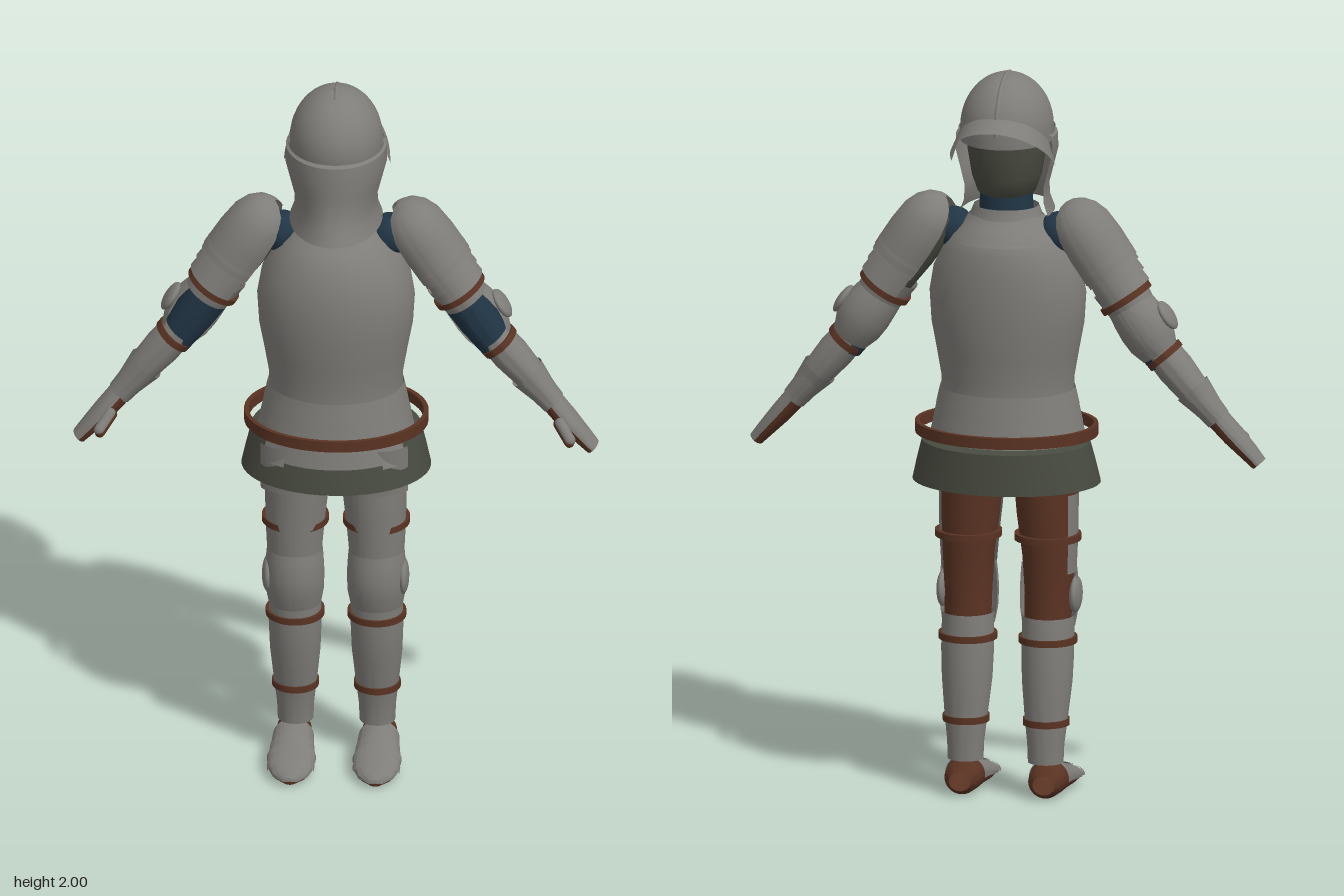
import * as THREE from 'three';
import { toCreasedNormals } from 'three/addons/utils/BufferGeometryUtils.js';

const mat = (name, color) => new THREE.MeshStandardMaterial({ name, color, side: THREE.DoubleSide });
const TAU = Math.PI * 2;

// Surface from a rule f(u, v) -> [x, y, z], u and v in 0..1
function grid(f, nu, nv) {
  const pos = [], idx = [];
  for (let j = 0; j <= nv; j++) for (let i = 0; i <= nu; i++) pos.push(...f(i / nu, j / nv));
  for (let j = 0; j < nv; j++) for (let i = 0; i < nu; i++) {
    const a = j * (nu + 1) + i, b = a + 1, c = a + nu + 1, d = c + 1;
    idx.push(a, b, d, a, d, c);
  }
  const g = new THREE.BufferGeometry();
  g.setAttribute('position', new THREE.Float32BufferAttribute(pos, 3));
  g.setIndex(idx);
  return toCreasedNormals(g, 0.75);
}

// Elliptical sections [y, cx, cz, rx, rz], bottom to top; angle 0 is front, PI/2 is +x
function loft(rows, from = 0, to = TAU, seg = 36) {
  return grid((u, v) => {
    const [y, cx, cz, rx, rz] = rows[Math.round(v * (rows.length - 1))];
    const t = from + (to - from) * u;
    return [cx + rx * Math.sin(t), y, cz + rz * Math.cos(t)];
  }, seg, rows.length - 1);
}

// Flat strap ring around a limb
const ring = (y, cx, cz, rx, rz, h = 0.009, w = 0.012) => loft(
  [[y - h, cx, cz, rx - w, rz - w], [y - h, cx, cz, rx, rz], [y + h, cx, cz, rx, rz], [y + h, cx, cz, rx - w, rz - w]]);

// Section from half width, front z and back z
const sec = (y, rx, zf, zb) => [y, 0, (zf + zb) / 2, rx, (zf - zb) / 2];

export function createModel() {
  const steel = mat('steel', 0x7f7d79), leather = mat('leather', 0x5a3323);
  const mail = mat('mail', 0x484b40), cloth = mat('cloth', 0x213545);
  const root = new THREE.Group();
  root.name = 'armour';
  const add = (parent, name, geo, m) => {
    const mesh = new THREE.Mesh(geo, m);
    mesh.name = name;
    parent.add(mesh);
    return mesh;
  };

  // Torso
  add(root, 'cuirass', loft([
    sec(1.12, 0.18, 0.17, -0.145), sec(1.16, 0.18, 0.17, -0.145), sec(1.23, 0.192, 0.18, -0.155),
    sec(1.31, 0.207, 0.19, -0.165), sec(1.39, 0.212, 0.193, -0.168), sec(1.46, 0.2, 0.185, -0.167),
    sec(1.52, 0.172, 0.165, -0.16), sec(1.56, 0.145, 0.138, -0.145), sec(1.585, 0.12, 0.1, -0.11),
    sec(1.61, 0.1, 0.075, -0.09)], 0, TAU, 48), steel);
  add(root, 'collar', loft([sec(1.57, 0.11, 0.085, -0.11), sec(1.61, 0.098, 0.08, -0.092), sec(1.635, 0.088, 0.075, -0.087)]), steel);
  add(root, 'backCollarLip', loft([sec(1.545, 0.15, 0.14, -0.155), sec(1.57, 0.128, 0.115, -0.135)]), steel);
  for (let i = 0; i < 4; i++) {
    const y = 1.13 - i * 0.045, k = i * 0.009;
    add(root, 'waistLame', loft([sec(y - 0.05, 0.194 + k, 0.18 + k / 2, -0.155 - k / 2), sec(y, 0.183 + k, 0.171 + k / 2, -0.147 - k / 2)]), steel);
  }
  add(root, 'belt', loft([
    sec(1.003, 0.235, 0.19, -0.195), sec(1.003, 0.248, 0.201, -0.208), sec(1.034, 0.248, 0.201, -0.208),
    sec(1.034, 0.235, 0.19, -0.195), sec(1.003, 0.235, 0.19, -0.195)], 0, TAU, 48), leather);
  add(root, 'mailSkirt', loft([sec(0.873, 0.255, 0.201, -0.208), sec(0.93, 0.242, 0.19, -0.205),
    sec(0.985, 0.228, 0.177, -0.2), sec(0.99, 0.2, 0.165, -0.16)], 0, TAU, 48), mail);
  add(root, 'hips', loft([sec(0.86, 0.03, 0.05, -0.03), sec(0.885, 0.15, 0.12, -0.1), sec(0.94, 0.18, 0.14, -0.13), sec(1.03, 0.17, 0.14, -0.13)]), cloth);

  // Head and helmet
  add(root, 'neck', loft([sec(1.58, 0.075, 0.065, -0.078), sec(1.69, 0.07, 0.06, -0.075)]), cloth);
  add(root, 'mailHood', loft([sec(1.655, 0.05, 0.05, -0.06), sec(1.675, 0.078, 0.08, -0.088), sec(1.72, 0.094, 0.1, -0.104),
    sec(1.79, 0.106, 0.115, -0.115), sec(1.86, 0.108, 0.12, -0.12)]), mail);
  const dome = [[1.815, 0, 0, 0.124, 0.144]];
  for (let i = 0; i <= 12; i++) {
    const a = i / 12 * Math.PI / 2;
    dome.push([1.85 + 0.147 * Math.sin(a), 0, 0, 0.125 * Math.cos(a), 0.146 * Math.cos(a)]);
  }
  add(root, 'helmetDome', loft(dome, 0, TAU, 48), steel);
  add(root, 'helmetRidge', grid((u, v) => {
    const a = u * Math.PI * 0.62, r = 1.02 - Math.abs(v - 0.5) * 0.06;
    return [(v - 0.5) * 0.014, 1.85 + 0.147 * r * Math.sin(a), -0.146 * r * Math.cos(a)];
  }, 24, 2), steel);
  add(root, 'crownRivet', new THREE.SphereGeometry(0.008, 12, 8), steel).position.y = 1.994;
  add(root, 'helmetBand', loft([sec(1.832, 0.128, 0.149, -0.149), sec(1.85, 0.129, 0.15, -0.15)], -1.8, 1.8), steel);
  add(root, 'faceGuard', loft([
    [1.615, 0, 0, 0.125, 0.2], [1.65, 0, 0, 0.112, 0.183], [1.69, 0, 0, 0.111, 0.169], [1.74, 0, 0, 0.124, 0.165],
    [1.79, 0, 0, 0.137, 0.167], [1.833, 0, 0, 0.135, 0.162], [1.84, 0, 0, 0.122, 0.145]], -1.8, 1.8, 40), steel);
  add(root, 'rearPeak', grid((u, v) => {
    const t = (u - 0.5) * Math.PI, s = Math.sin(t), c = Math.cos(t);
    const inner = [0.124 * s, 1.815 + 0.085 * c, -0.035 - 0.1 * c];
    const outer = [0.143 * s, 1.755 + 0.117 * c, -0.045 - 0.152 * c];
    return inner.map((p, i) => p + (outer[i] - p) * v);
  }, 32, 4), steel);

  // One side of limbs, then its mirror
  for (const side of [1, -1]) {
    const half = new THREE.Group();
    half.name = side > 0 ? 'leftLimbs' : 'rightLimbs';
    half.scale.x = side;
    root.add(half);

    const armpit = add(half, 'armpitCloth', new THREE.SphereGeometry(0.058, 20, 14), cloth);
    armpit.position.set(0.145, 1.562, -0.005);

    // Upper arm hangs along local -y
    const arm = new THREE.Group();
    arm.name = 'upperArm';
    arm.position.set(0.2, 1.58, -0.015);
    arm.rotation.z = 0.588;
    half.add(arm);
    const out = Math.PI / 2;
    add(arm, 'mailSleeve', loft([[-0.22, 0.008, 0, 0.06, 0.066], [-0.1, 0.006, 0, 0.07, 0.076], [0, 0.004, 0, 0.07, 0.076],
      [0.04, 0, 0, 0.052, 0.058], [0.062, 0, 0, 0.005, 0.005]]), mail);
    add(arm, 'pauldron', loft([
      [-0.14, 0.008, 0, 0.087, 0.094], [-0.06, 0.008, 0, 0.088, 0.094], [0, 0.008, 0, 0.083, 0.089], [0.035, 0.008, 0, 0.07, 0.075],
      [0.06, 0.008, 0, 0.05, 0.052], [0.074, 0.01, 0, 0.025, 0.025], [0.078, 0.01, 0, 0.001, 0.001]], out - 2.25, out + 2.25), steel);
    for (let i = 0; i < 4; i++) {
      const y = -0.085 - i * 0.032, k = i * 0.0035;
      add(arm, 'armLame', loft([[y - 0.036, 0.008, 0, 0.088 - k, 0.095 - k], [y, 0.008, 0, 0.085 - k, 0.092 - k]], out - 2.25, out + 2.25), steel);
    }
    add(arm, 'upperCannon', loft([[-0.26, 0.005, 0, 0.064, 0.066], [-0.18, 0.006, 0, 0.072, 0.078]]), steel);
    add(arm, 'armStrap', ring(-0.227, 0.005, 0, 0.076, 0.08), leather);
    add(arm, 'elbowCloth', loft([[-0.43, 0, 0, 0.045, 0.05], [-0.33, 0, 0, 0.056, 0.06], [-0.23, 0, 0, 0.06, 0.064]]), cloth);
    add(arm, 'elbowCop', loft([[-0.4, 0.004, -0.006, 0.052, 0.056], [-0.36, 0.006, -0.008, 0.067, 0.069], [-0.32, 0.008, -0.008, 0.072, 0.073],
      [-0.28, 0.006, -0.006, 0.068, 0.07], [-0.245, 0.004, 0, 0.063, 0.066]], 1.0, 5.1), steel);
    const boss = add(arm, 'elbowDisc', new THREE.SphereGeometry(0.043, 24, 14), steel);
    boss.scale.x = 0.35;
    boss.position.set(0.078, -0.325, -0.005);

    // Forearm and gauntlet
    const fore = new THREE.Group();
    fore.name = 'forearm';
    fore.position.set(0.383, 1.305, -0.015);
    fore.rotation.z = 0.7;
    half.add(fore);
    add(fore, 'vambrace', loft([[-0.29, 0, 0.005, 0.034, 0.042], [-0.21, 0, 0, 0.043, 0.052], [-0.13, 0, 0, 0.05, 0.059], [-0.06, 0, 0, 0.047, 0.056]]), steel);
    add(fore, 'forearmStrap', ring(-0.083, 0, 0, 0.054, 0.063), leather);
    add(fore, 'gauntletCuff', loft([[-0.31, 0, 0.01, 0.034, 0.042], [-0.27, 0, 0.008, 0.037, 0.045], [-0.2, 0, 0.003, 0.05, 0.059]]), steel);
    const hand = [[-0.473, 0.004, 0.028, 0.001, 0.001], [-0.472, 0.004, 0.028, 0.02, 0.034], [-0.43, 0.003, 0.026, 0.024, 0.041],
      [-0.37, 0.001, 0.02, 0.029, 0.046], [-0.3, 0, 0.01, 0.031, 0.041]];
    add(fore, 'handBack', loft(hand, 0, Math.PI), steel);
    add(fore, 'palm', loft(hand, Math.PI, TAU), leather);
    const thumb = add(fore, 'thumb', new THREE.CapsuleGeometry(0.014, 0.06, 6, 12), leather);
    thumb.position.set(-0.012, -0.375, 0.085);
    thumb.rotation.x = -0.65;
    const plate = add(fore, 'thumbPlate', new THREE.CapsuleGeometry(0.015, 0.055, 6, 12), steel);
    plate.position.set(-0.006, -0.373, 0.086);
    plate.rotation.x = -0.65;

    // Thigh
    add(half, 'breeches', loft([[0.44, 0.11, 0.01, 0.062, 0.064], [0.56, 0.11, 0.02, 0.064, 0.066], [0.66, 0.11, 0.02, 0.07, 0.074],
      [0.78, 0.104, 0.02, 0.08, 0.082], [0.92, 0.098, 0.018, 0.085, 0.086]]), leather);
    add(half, 'cuisse', loft([[0.62, 0.11, 0.026, 0.074, 0.076], [0.72, 0.108, 0.024, 0.081, 0.083],
      [0.8, 0.104, 0.024, 0.086, 0.088], [0.92, 0.1, 0.024, 0.09, 0.092]], -1.35, 2.2), steel);
    add(half, 'tasset', grid((u, v) => {
      const t = (u - 0.5) * 1.9;
      return [0.11 + 0.108 * Math.sin(t), 0.845 + 0.14 * v, 0.045 + 0.1 * Math.cos(t) + 0.012 * v];
    }, 16, 2), steel);
    add(half, 'skirtPlate', loft([sec(0.934, 0.244, 0.193, -0.207), sec(0.986, 0.231, 0.18, -0.203)], 0.58, 0.92, 8), steel);
    for (const [y, cx, cz, r] of [[0.855, 0.102, 0.005, 0.097], [0.718, 0.109, 0.015, 0.09], [0.435, 0.11, 0.012, 0.079], [0.212, 0.11, -0.01, 0.063]])
      add(half, 'legStrap', ring(y, cx, cz, r, r), leather);

    // Knee
    add(half, 'kneeCop', loft([[0.47, 0.11, 0.022, 0.071, 0.072], [0.51, 0.11, 0.028, 0.078, 0.079], [0.56, 0.11, 0.031, 0.08, 0.083],
      [0.61, 0.11, 0.029, 0.077, 0.079], [0.64, 0.11, 0.026, 0.074, 0.076]], -1.7, 1.75), steel);
    const disc = add(half, 'kneeDisc', new THREE.SphereGeometry(0.05, 24, 14), steel);
    disc.scale.x = 0.32;
    disc.position.set(0.182, 0.555, 0.033);

    // Shin
    add(half, 'greave', loft([[0.1, 0.11, -0.017, 0.048, 0.047], [0.15, 0.11, -0.016, 0.05, 0.049], [0.22, 0.11, -0.01, 0.058, 0.058],
      [0.32, 0.11, 0.003, 0.068, 0.07], [0.4, 0.11, 0.009, 0.071, 0.075], [0.5, 0.11, 0.016, 0.07, 0.072]]), steel);

    // Foot: sections run along z
    const foot = (k, start) => [[-0.07, 0.03, 0.045, 0.026], [-0.05, 0.046, 0.051, 0.045], [0, 0.052, 0.051, 0.048], [0.05, 0.055, 0.045, 0.041],
      [0.1, 0.06, 0.037, 0.033], [0.15, 0.058, 0.03, 0.026], [0.19, 0.044, 0.024, 0.019], [0.215, 0.018, 0.02, 0.01], [0.218, 0.001, 0.02, 0.001]]
      .slice(start).map(([z, rx, yc, ry]) => [z, 0.115, -yc, rx * k, ry * k]);
    const lay = (g) => g.rotateX(Math.PI / 2);
    add(half, 'boot', lay(loft(foot(1, 0))), leather);
    add(half, 'sabaton', lay(loft(foot(1.06, 2), Math.PI - 1.75, Math.PI + 1.75)), steel);
    for (const [z, rx, yc, ry] of [[0.06, 0.06, 0.044, 0.044], [0.1, 0.066, 0.037, 0.038], [0.14, 0.064, 0.032, 0.032]])
      add(half, 'toeLame', lay(loft([[z, 0.115, -yc, rx, ry], [z + 0.03, 0.115, -yc + 0.006, rx * 0.97, ry * 0.86]], Math.PI - 1.7, Math.PI + 1.7)), steel);
  }
  return root;
}
